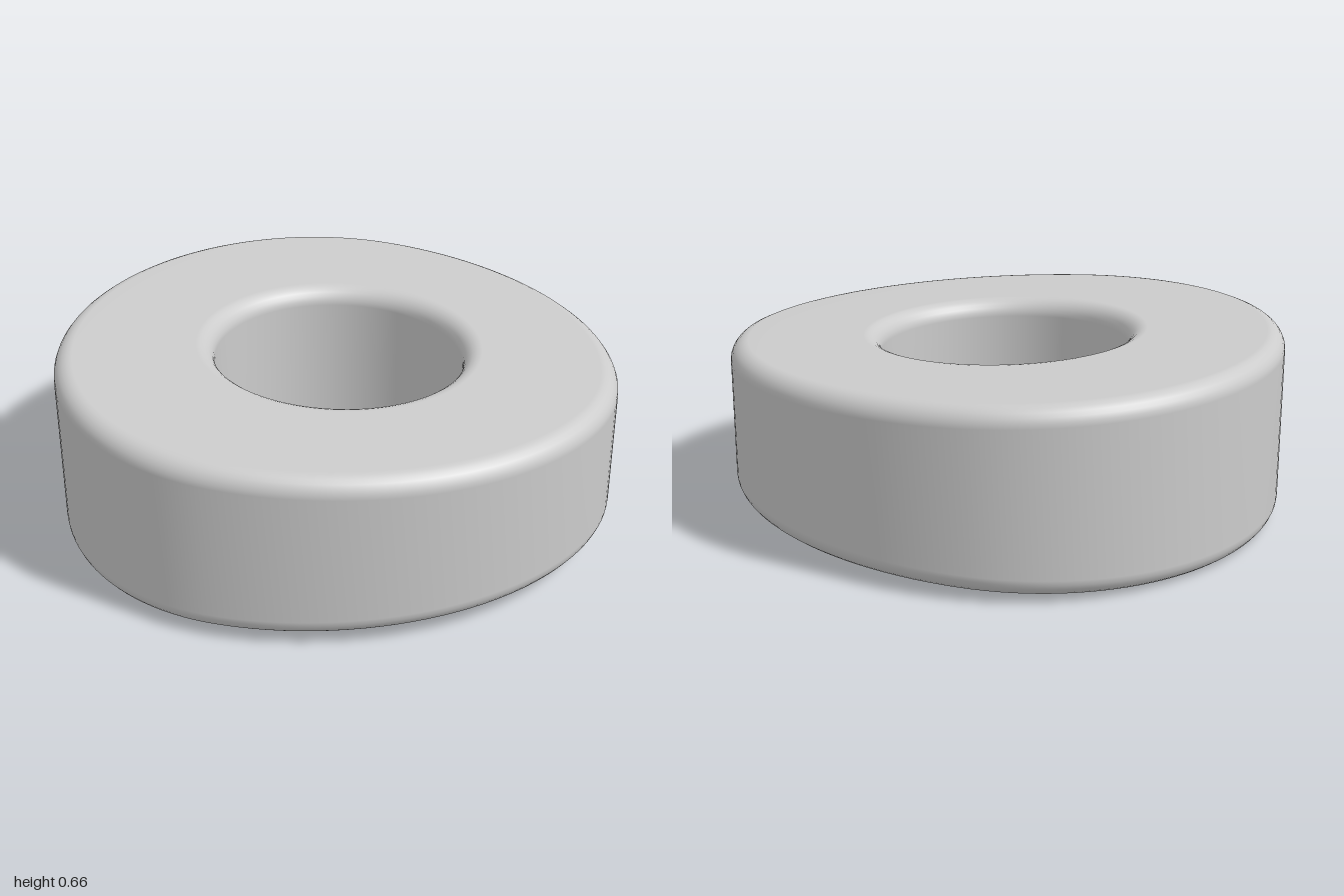
import * as THREE from 'three';

const SEGMENTS = 128; // steps around the ring
const STEPS = 6;      // steps per rounded edge
const FILLET = 0.065;
const MID = 0.33;

// Half height of the wedge: tall at -x, lower at +x
const halfHeight = (x) => 0.302 - 0.03 * x;

// Egg-shaped outer outline: point and outward normal
function outerRim(t) {
  const c = Math.cos(t), s = Math.sin(t);
  const a = c > 0 ? 1.12 : 0.88, b = 0.99, n = c > 0 ? 1.92 : 2;
  const u = Math.sign(c) * Math.abs(c) ** (2 / n), v = Math.sign(s) * Math.abs(s) ** (2 / n);
  const normal = new THREE.Vector2(
    Math.sign(u) * Math.abs(u) ** (n - 1) / a,
    Math.sign(v) * Math.abs(v) ** (n - 1) / b).normalize();
  return { point: new THREE.Vector2(-0.12 + a * u, b * v), normal };
}

// Round hole: the normal points into the opening
function innerRim(t) {
  const d = new THREE.Vector2(Math.cos(t), Math.sin(t));
  return { point: d.clone().multiplyScalar(0.447), normal: d.negate() };
}

// One cross-section: four rounded corners, from inner top over the outside and back
function crossSection(t) {
  const inner = innerRim(t), outer = outerRim(t), points = [];
  const corner = (rim, side, fromWall) => {
    for (let k = 0; k <= STEPS; k++) {
      const q = (fromWall ? k : STEPS - k) / STEPS * Math.PI / 2;
      const p = rim.point.clone().addScaledVector(rim.normal, FILLET * (Math.cos(q) - 1));
      const y = MID + side * (halfHeight(p.x) - FILLET * (1 - Math.sin(q)));
      points.push([p.x, y, p.y]);
    }
  };
  corner(inner, 1, true);
  corner(outer, 1, false);
  corner(outer, -1, true);
  corner(inner, -1, false);
  return points;
}

export function createModel() {
  const positions = [], index = [];
  const count = 4 * (STEPS + 1);
  for (let i = 0; i < SEGMENTS; i++) {
    positions.push(...crossSection(i / SEGMENTS * Math.PI * 2).flat());
    const next = (i + 1) % SEGMENTS;
    for (let j = 0; j < count; j++) {
      const k = (j + 1) % count;
      const a = i * count + j, b = next * count + j, c = next * count + k, d = i * count + k;
      index.push(a, b, d, b, c, d);
    }
  }
  const geometry = new THREE.BufferGeometry();
  geometry.setAttribute('position', new THREE.Float32BufferAttribute(positions, 3));
  geometry.setIndex(index);
  geometry.computeVertexNormals();

  // Tapered ring with rounded edges
  const ring = new THREE.Mesh(geometry, new THREE.MeshStandardMaterial({ color: 0xcccccc }));
  ring.name = 'taperedRing';
  const group = new THREE.Group();
  group.name = 'wedgeRing';
  group.add(ring);
  return group;
}
